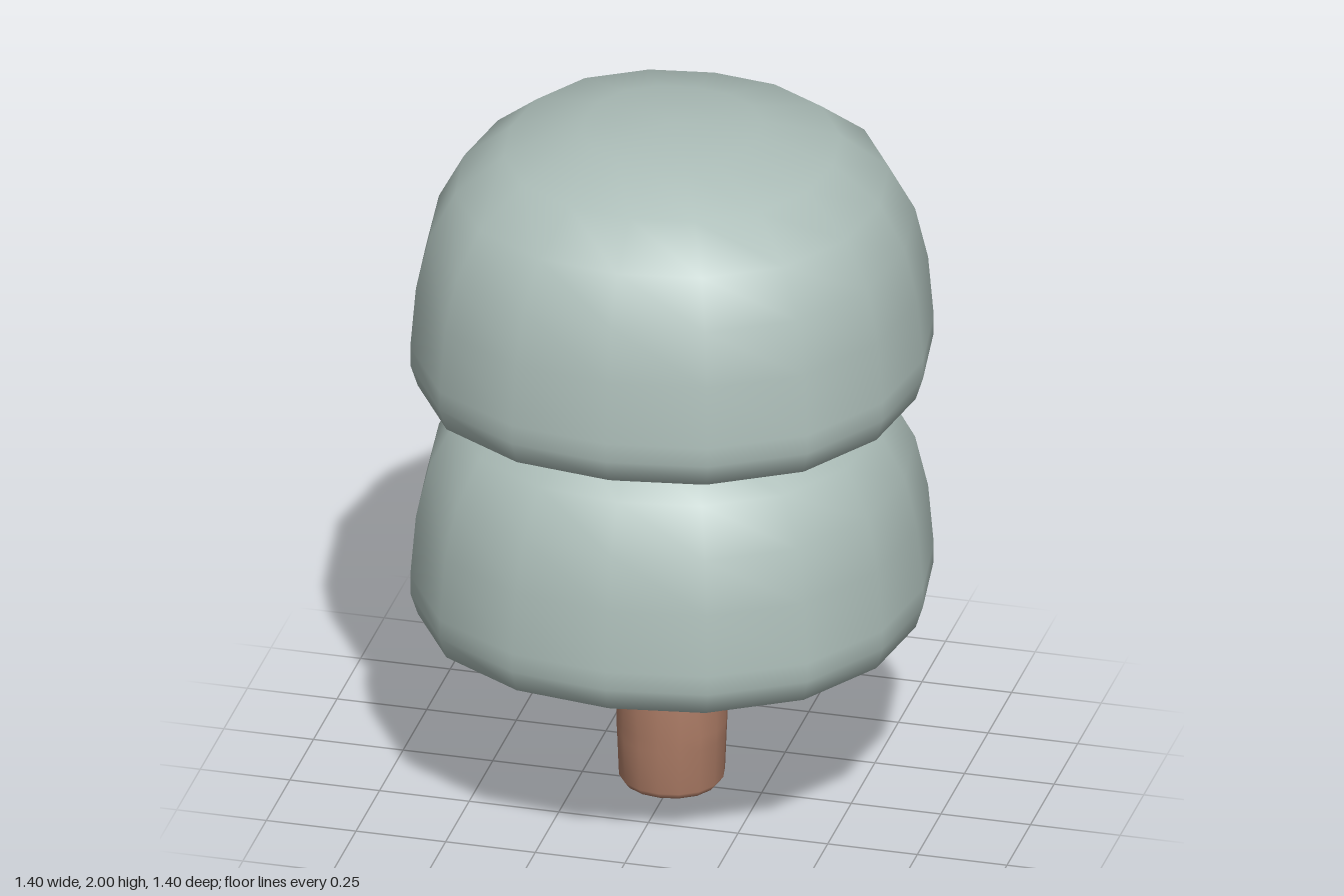
import * as THREE from 'three';
import { mergeVertices } from 'three/addons/utils/BufferGeometryUtils.js';

// Smooth 16-sided turned form, slightly squared off along its diagonals
function softLathe(profile, squareness) {
  const geo = new THREE.LatheGeometry(profile.map(([r, y]) => new THREE.Vector2(r, y)), 16);
  const pos = geo.attributes.position;
  for (let i = 0; i < pos.count; i++) {
    const x = pos.getX(i), z = pos.getZ(i);
    const s = 1 + squareness * Math.sin(2 * Math.atan2(z, x)) ** 2;
    pos.setXYZ(i, x * s, pos.getY(i), z * s);
  }
  geo.deleteAttribute('uv');
  geo.deleteAttribute('normal');
  const welded = mergeVertices(geo, 1e-4);
  welded.computeVertexNormals();
  return welded;
}

export function createModel() {
  const tree = new THREE.Group();
  tree.name = 'tree';

  const foliage = new THREE.MeshStandardMaterial({ color: 0xacbdb8 });
  foliage.name = 'greyGreenFoliage';
  const bark = new THREE.MeshStandardMaterial({ color: 0xaa7a64 });
  bark.name = 'brownBark';

  // Two identical rounded foliage tiers
  const tierGeometry = softLathe([
    [0, 0], [0.25, 0.003], [0.48, 0.012], [0.61, 0.026], [0.68, 0.062], [0.7, 0.125],
    [0.7, 0.18], [0.685, 0.355], [0.65, 0.505], [0.58, 0.635], [0.45, 0.74],
    [0.24, 0.798], [0, 0.815],
  ], 0.036);
  [['lowerFoliage', 0.495], ['upperFoliage', 1.185]].forEach(([name, y]) => {
    const tier = new THREE.Mesh(tierGeometry, foliage);
    tier.name = name;
    tier.position.y = y;
    tree.add(tier);
  });

  // Trunk with a softened foot, running up into the foliage
  const trunk = new THREE.Mesh(softLathe([
    [0, 0], [0.09, 0.006], [0.13, 0.016], [0.143, 0.034], [0.148, 0.16],
    [0.15, 0.2], [0.15, 0.6], [0, 0.61],
  ], 0.02), bark);
  trunk.name = 'trunk';
  tree.add(trunk);

  return tree;
}
